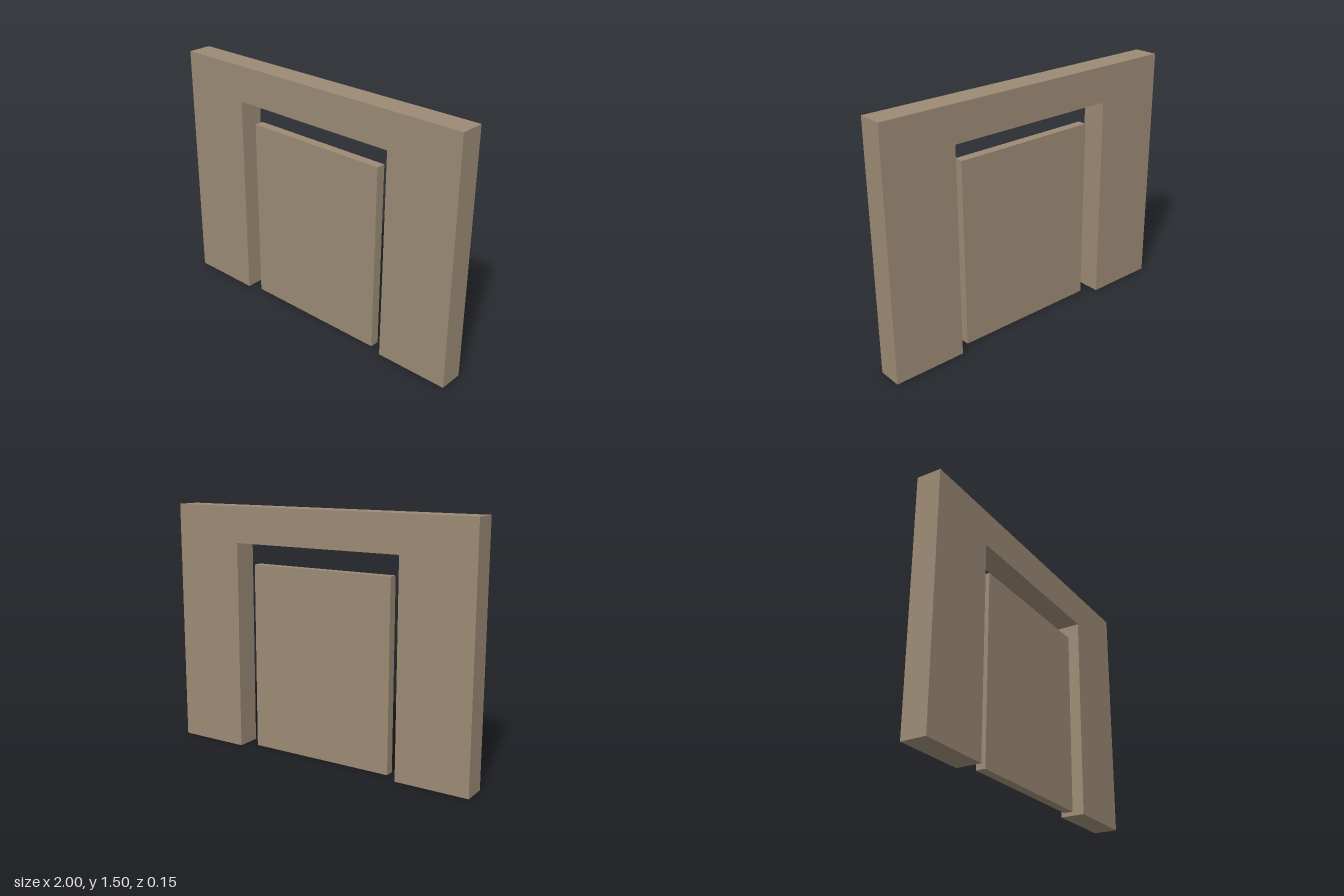
import * as THREE from 'three';

export function createModel() {
  const model = new THREE.Group();
  const material = new THREE.MeshStandardMaterial({ color: 0x9b8a74, flatShading: true });

  // Surround: two wide posts and a lintel as one solid
  const outer = 1, inner = 0.55, top = 1.5, openingTop = 1.28, depth = 0.15;
  const outline = new THREE.Shape([
    [-outer, 0], [-inner, 0], [-inner, openingTop], [inner, openingTop],
    [inner, 0], [outer, 0], [outer, top], [-outer, top],
  ].map(([x, y]) => new THREE.Vector2(x, y)));
  const surround = new THREE.Mesh(
    new THREE.ExtrudeGeometry(outline, { depth, bevelEnabled: false }), material);
  surround.name = 'surround';
  surround.position.z = -depth / 2;
  model.add(surround);

  // Thin free-standing panel inside the opening, set slightly forward
  const panelHeight = 1.15;
  const panel = new THREE.Mesh(new THREE.BoxGeometry(0.935, panelHeight, 0.058), material);
  panel.name = 'panel';
  panel.position.set(0, panelHeight / 2, 0.016);
  model.add(panel);

  return model;
}
